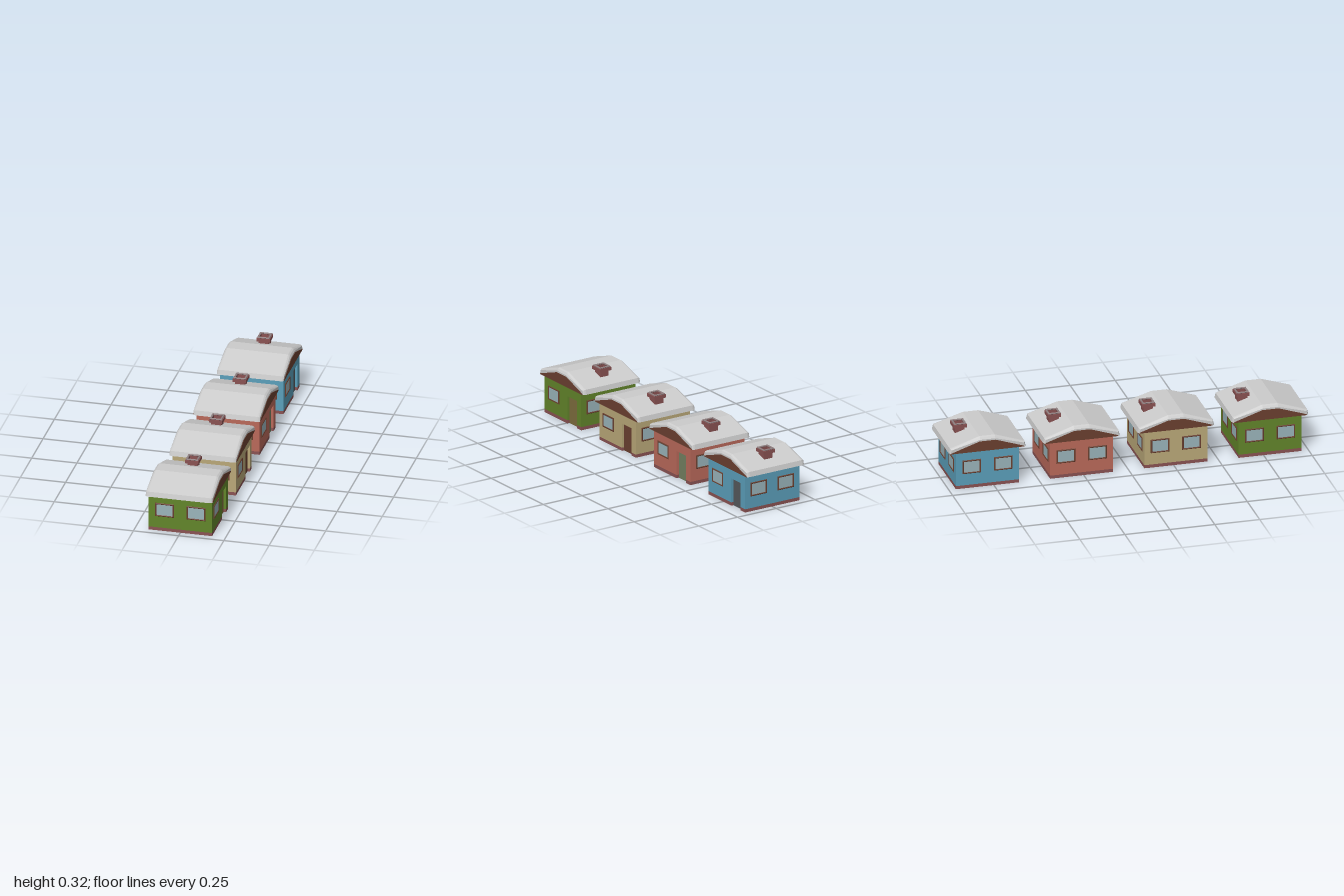
import * as THREE from 'three';
import { ConvexGeometry } from 'three/addons/geometries/ConvexGeometry.js';

const mat = (color) => new THREE.MeshStandardMaterial({ color, flatShading: true });
const ROOF = mat(0xcccccc), TIMBER = mat(0x6b4030), GLASS = mat(0x9ab4ba);
const BRICK = mat(0x8a5252), CAP = mat(0x8f7f80);

const HALF = 0.175, THICK = 0.018, EAVE = 0.212, PLINTH = 0.018;
const DOOR = { from: 0.042, to: 0.133, top: 0.155 };
const OPENING = 0.0875; // sideways offset of windows and door

function add(parent, name, geometry, material, x = 0, y = 0, z = 0) {
  const mesh = new THREE.Mesh(geometry, material);
  mesh.name = name;
  mesh.position.set(x, y, z);
  parent.add(mesh);
  return mesh;
}

// Box given by its limits in x, y and z
function span(parent, name, material, [x0, x1], [y0, y1], [z0, z1]) {
  return add(parent, name, new THREE.BoxGeometry(x1 - x0, y1 - y0, z1 - z0), material,
    (x0 + x1) / 2, (y0 + y1) / 2, (z0 + z1) / 2);
}

const rect = (Type, w, h) => new Type([[-w, -h], [w, -h], [w, h], [-w, h]]
  .map(([x, y]) => new THREE.Vector2(x / 2, y / 2)));

// Rectangular ring in xy with chamfered edges, starting at z = 0
function ring(w, h, border, depth, bevel) {
  const shape = rect(THREE.Shape, w, h);
  shape.holes.push(rect(THREE.Path, w - 2 * border, h - 2 * border));
  const geometry = new THREE.ExtrudeGeometry(shape, {
    depth: depth - 2 * bevel, bevelEnabled: bevel > 0, bevelSize: bevel,
    bevelThickness: bevel, bevelOffset: -bevel, bevelSegments: 1,
  });
  return geometry.translate(0, 0, bevel);
}

function addWindow(side, x) {
  const y = 0.1235;
  add(side, 'windowFrame', ring(0.104, 0.078, 0.008, 0.024, 0.002), TIMBER, x, y, 0.155);
  span(side, 'windowPane', GLASS, [x - 0.045, x + 0.045], [y - 0.032, y + 0.032], [0.1565, 0.1765]);
}

// One wall of the house, facing +z, with two windows or a window and a door
function makeSide(wallMat, doorMat) {
  const side = new THREE.Group();
  side.name = doorMat ? 'doorSide' : 'windowSide';
  const z = [HALF - THICK, HALF];
  const runs = doorMat ? [[-HALF, DOOR.from], [DOOR.to, HALF]] : [[-HALF, HALF]];
  for (const run of runs) {
    span(side, 'plinth', BRICK, run, [0, PLINTH], z);
    span(side, 'wall', wallMat, run, [PLINTH, EAVE], z);
  }
  addWindow(side, -OPENING);
  if (doorMat) {
    span(side, 'lintel', wallMat, [DOOR.from, DOOR.to], [DOOR.top, EAVE], z);
    span(side, 'door', doorMat, [DOOR.from, DOOR.to], [0, DOOR.top], [HALF - THICK, HALF - 0.014]);
  } else {
    addWindow(side, OPENING);
  }
  return side;
}

// Roof shell: the profile shrinks towards both gables to form the chamfer
function roofGeometry() {
  const profile = [[0.2135, EAVE], [0.207, 0.239], [0.043, 0.293]];
  const steps = [[0.184, 0.8, 0.97], [0.177, 0.93, 0.99], [0.168, 1, 1]];
  const points = [];
  for (const [x, fy, fz] of steps) {
    for (const [z, y] of profile) {
      for (const sx of [-1, 1]) for (const sz of [-1, 1]) {
        points.push(new THREE.Vector3(sx * x, EAVE + (y - EAVE) * fy, sz * z * fz));
      }
    }
  }
  return new ConvexGeometry(points);
}

// Timber gable filling and soffit under the shell
function gableGeometry() {
  const points = [];
  for (const x of [-0.186, 0.186]) for (const s of [-1, 1]) {
    for (const [z, y] of [[0.203, EAVE - 0.001], [0.2, 0.216], [0.045, 0.268]]) {
      points.push(new THREE.Vector3(x, y, s * z));
    }
  }
  return new ConvexGeometry(points);
}

// Hollow chimney rising from the back slope
function makeChimney(flueMat) {
  const chimney = new THREE.Group();
  chimney.name = 'chimney';
  chimney.position.z = -0.112;
  const parts = [
    ['chimneyShaft', 0.054, 0.006, 0.25, 0.045, 0, BRICK],
    ['chimneyCollar', 0.074, 0.012, 0.293, 0.018, 0, BRICK],
    ['chimneyCap', 0.068, 0.01, 0.311, 0.007, 0.002, CAP],
  ];
  for (const [name, size, border, y, height, bevel, material] of parts) {
    add(chimney, name, ring(size, size, border, height, bevel), material, 0, y, 0).rotation.x = -Math.PI / 2;
  }
  span(chimney, 'flue', flueMat, [-0.026, 0.026], [0.26, 0.281], [-0.026, 0.026]);
  return chimney;
}

function makeHouse(wallColor, doorColor, flueColor) {
  const house = new THREE.Group();
  house.name = 'house';
  const wallMat = mat(wallColor), doorMat = mat(doorColor);
  for (let k = 0; k < 4; k++) {
    const side = makeSide(wallMat, k === 1 ? doorMat : null);
    side.rotation.y = k * Math.PI / 2;
    house.add(side);
  }
  add(house, 'roof', roofGeometry(), ROOF);
  add(house, 'gables', gableGeometry(), TIMBER);
  house.add(makeChimney(mat(flueColor)));
  return house;
}

export function createModel() {
  const model = new THREE.Group();
  model.name = 'rowOfHouses';
  // wall, door and flue colours, from front to back
  const houses = [
    [0x62852a, 0x7d6c3d, 0x35252a],
    [0xb9a878, 0x6a4030, 0x35252a],
    [0xb9695a, 0x738060, 0xb46a5c],
    [0x5b9fba, 0x55585c, 0x35252a],
  ];
  houses.forEach((colors, i) => {
    const house = makeHouse(...colors);
    house.position.z = 0.786 - i * 0.524;
    model.add(house);
  });
  return model;
}
